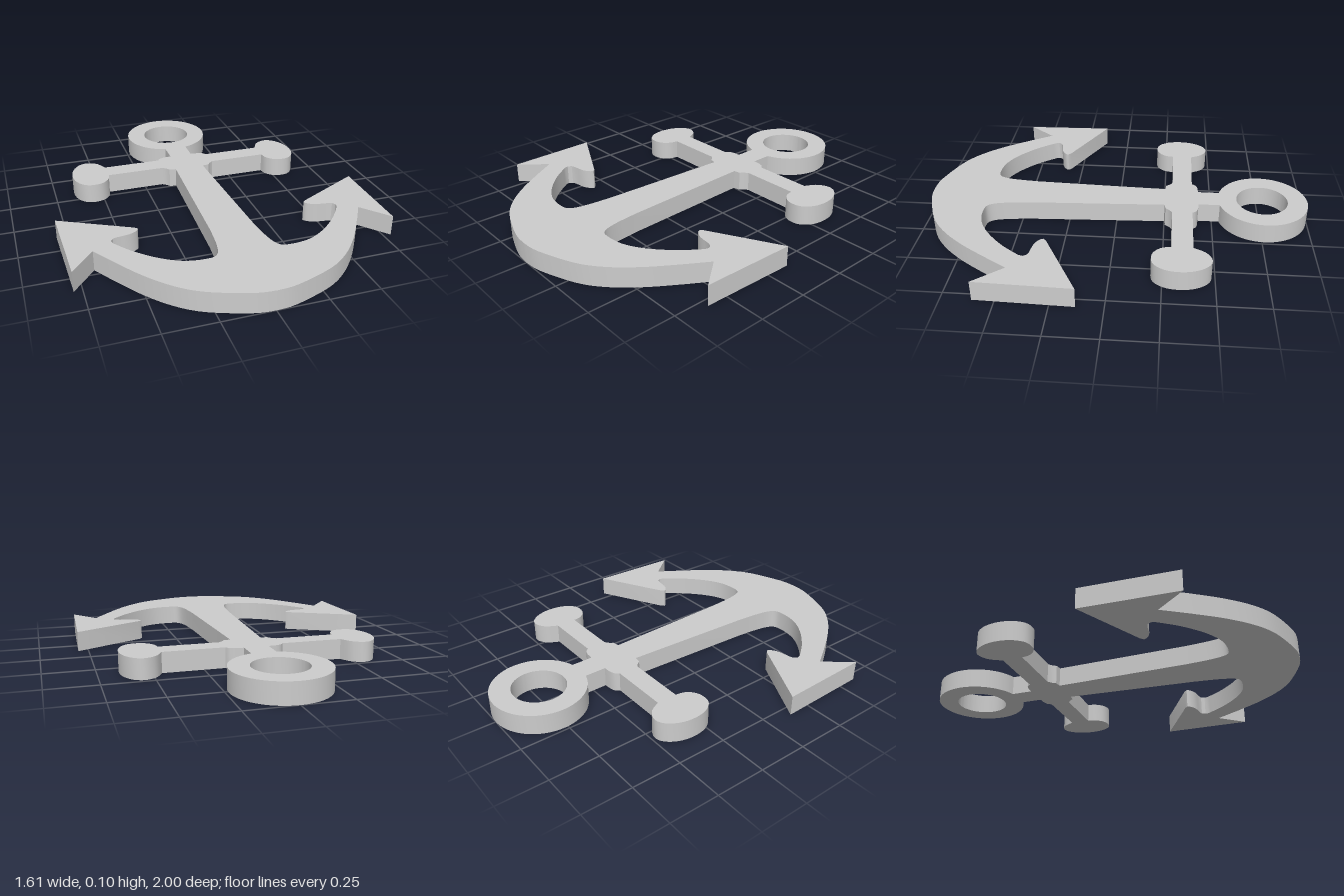
import * as THREE from 'three';
import { toCreasedNormals } from 'three/addons/utils/BufferGeometryUtils.js';

const THICKNESS = 0.103;

// Smooth run through [x, z] points, sampled to Vector2 (shape y = -z)
function curve(points, samples) {
  return new THREE.SplineCurve(points.map(([x, z]) => new THREE.Vector2(x, -z))).getPoints(samples);
}

// Straight-edged run
function line(points) {
  return points.map(([x, z]) => new THREE.Vector2(x, -z));
}

// Arc of the top ring, from the neck up to the crown of the ring
function ringArc(radius, zCentre, startX, samples) {
  const start = -Math.acos(startX / radius);
  return Array.from({ length: samples + 1 }, (_, i) => {
    const a = start + (Math.PI / 2 - start) * i / samples;
    return new THREE.Vector2(radius * Math.cos(a), radius * Math.sin(a) - zCentre);
  });
}

export function createModel() {
  const group = new THREE.Group();
  group.name = 'anchor';

  // Half outline, from the bottom of the arms up to the top of the ring
  const half = [
    // outer edge of the arm
    ...curve([[0, 1], [0.1, 0.988], [0.285, 0.92], [0.4, 0.84], [0.5, 0.73], [0.59, 0.6], [0.675, 0.465]], 24),
    // arrow-shaped fluke
    ...line([[0.79, 0.605], [0.803, 0.13], [0.45, 0.315]]),
    ...curve([[0.435, 0.33], [0.445, 0.348], [0.485, 0.37], [0.56, 0.382], [0.58, 0.405]], 10),
    // inner edge of the arm, running up into the shank
    ...curve([[0.575, 0.425], [0.5, 0.523], [0.4, 0.615], [0.3, 0.67], [0.2, 0.683], [0.15, 0.665],
      [0.125, 0.59], [0.11, 0.45]], 32),
    ...line([[0.08, -0.25]]),
    // lower collar step
    ...curve([[0.115, -0.255], [0.13, -0.275], [0.15, -0.29]], 4),
    // rounded end of the stock
    ...curve([[0.455, -0.29], [0.465, -0.245], [0.5, -0.207], [0.55, -0.195], [0.6, -0.21], [0.638, -0.265],
      [0.648, -0.34], [0.633, -0.41], [0.595, -0.465], [0.545, -0.483], [0.49, -0.455], [0.455, -0.395]], 36),
    // upper collar step and neck
    ...curve([[0.145, -0.395], [0.13, -0.415], [0.1, -0.425]], 4),
    ...line([[0.062, -0.427]]),
    ...ringArc(0.235, -0.765, 0.062, 32),
  ];

  // Mirror the half, leaving out the two points on the centre line
  const mirrored = half.slice(1, -1).reverse().map((p) => new THREE.Vector2(-p.x, p.y));
  const outline = new THREE.Shape([...half, ...mirrored]);

  // Eye of the ring
  outline.holes.push(new THREE.Path().absarc(0, 0.762, 0.134, 0, Math.PI * 2, true));

  // Flat plate lying on the ground
  const plate = new THREE.ExtrudeGeometry(outline, { depth: THICKNESS, bevelEnabled: false, curveSegments: 48 });
  plate.rotateX(-Math.PI / 2);

  const mesh = new THREE.Mesh(
    toCreasedNormals(plate, 0.5),
    new THREE.MeshStandardMaterial({ color: 0xcccccc })
  );
  mesh.name = 'anchorPlate';
  group.add(mesh);
  return group;
}
